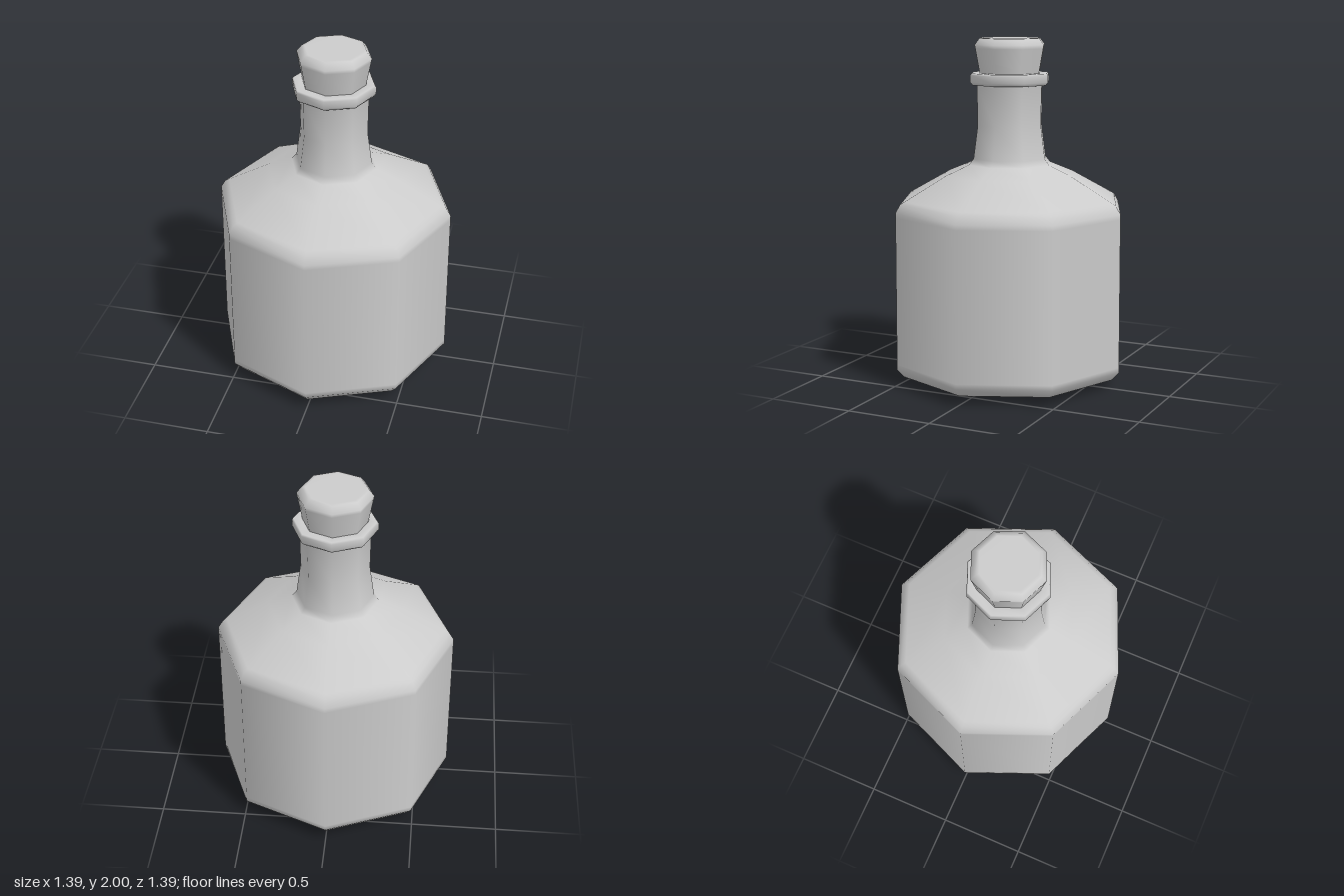
import * as THREE from 'three';

const SIDES = 8;

// Eight-sided turned part; profile runs from bottom to top as [radius, y]
function turned(name, profile) {
  const geometry = new THREE.LatheGeometry(profile.map(([r, y]) => new THREE.Vector2(r, y)), SIDES);
  const mesh = new THREE.Mesh(geometry, new THREE.MeshStandardMaterial({ color: 0xcccccc }));
  mesh.name = name;
  return mesh;
}

export function createModel() {
  const group = new THREE.Group();
  group.name = 'bottle';

  // Base, body, shoulder, neck and lip; paired points keep the bevels crisp
  group.add(turned('bottleBody', [
    [0, 0], [0.2, 0.003], [0.62, 0.046], [0.65, 0.052],
    [0.693, 0.1], [0.693, 0.13],
    [0.69, 0.99], [0.69, 1.02],
    [0.663, 1.065], [0.635, 1.081],
    [0.39, 1.217], [0.25, 1.275], [0.222, 1.31],
    [0.196, 1.5], [0.2, 1.73],
    [0.225, 1.732], [0.24, 1.75], [0.24, 1.79], [0.233, 1.8],
    [0.185, 1.8], [0.175, 1.79], [0.175, 1.7],
  ]));

  // Tapered stopper with a bevelled top
  group.add(turned('cork', [
    [0, 1.7], [0.165, 1.7], [0.181, 1.79],
    [0.209, 1.94], [0.213, 1.962],
    [0.185, 1.998], [0.165, 2], [0, 2],
  ]));

  return group;
}
